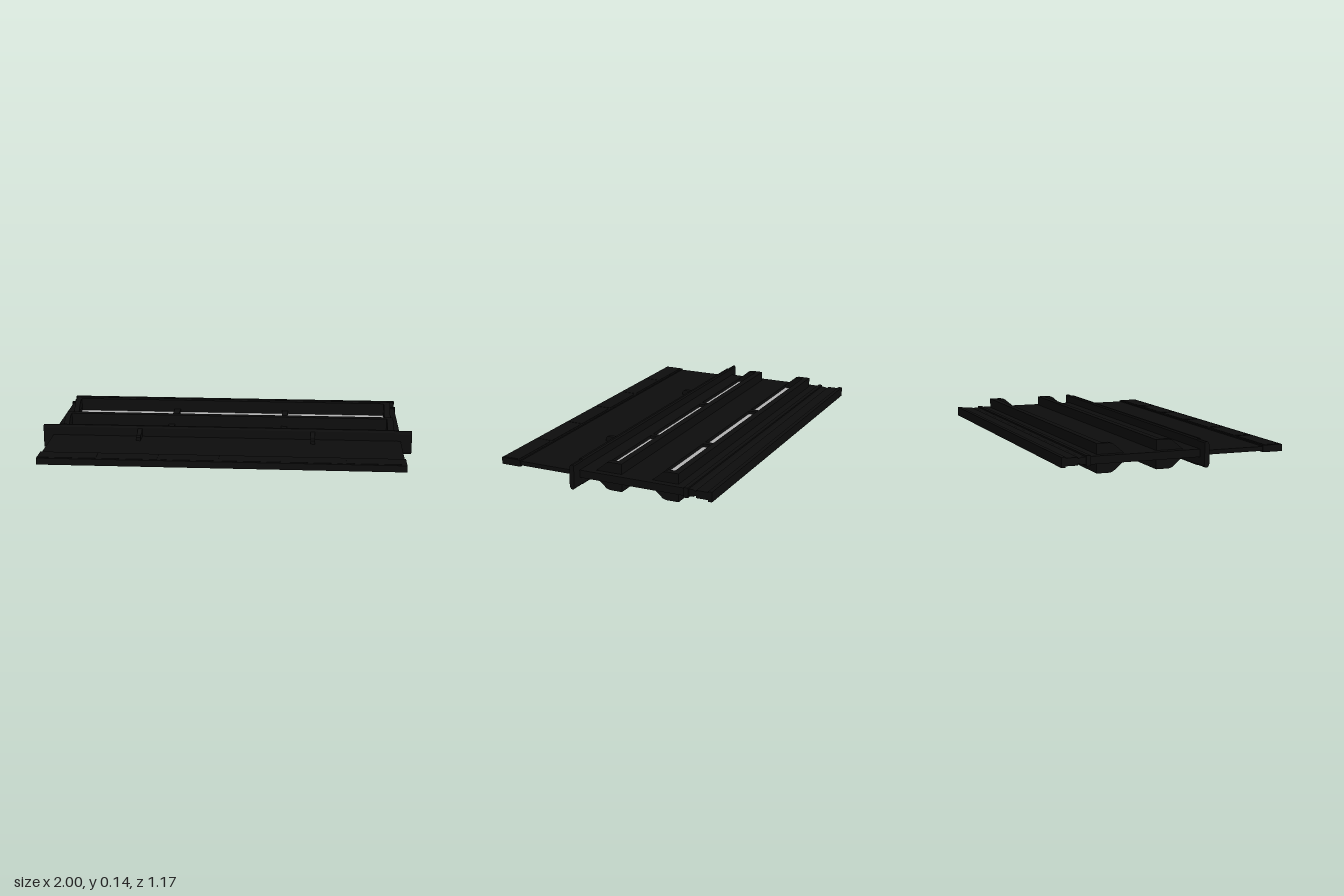
import * as THREE from 'three';

const MID = 0.0725; // height of the symmetry plane

export function createModel() {
  const model = new THREE.Group();
  const black = new THREE.MeshStandardMaterial({ color: 0x0d0d0d });
  black.name = 'black';
  const grey = new THREE.MeshStandardMaterial({ color: 0xb2b2b2 });
  grey.name = 'pale grey';

  const add = (name, geometry, material = black) => {
    const mesh = new THREE.Mesh(geometry, material);
    mesh.name = name;
    model.add(mesh);
    return mesh;
  };
  // box between two x and two z values, centred on the symmetry plane
  const slab = (name, x0, x1, z0, z1, half, material) => {
    const mesh = add(name, new THREE.BoxGeometry(x1 - x0, half * 2, z1 - z0), material);
    mesh.position.set((x0 + x1) / 2, MID, (z0 + z1) / 2);
    return mesh;
  };
  // (z, height above plane) profile mirrored below the plane, swept along x
  const sweep = (name, half, x0, x1) => {
    const pts = [...half, ...half.slice().reverse().map(([z, h]) => [z, -h])];
    const shape = new THREE.Shape(pts.map(([z, h]) => new THREE.Vector2(-z, h)));
    const geo = new THREE.ExtrudeGeometry(shape, { depth: x1 - x0, bevelEnabled: false });
    geo.rotateY(Math.PI / 2);
    add(name, geo).position.set(x0, MID, 0);
  };
  const rect = (Kind, x0, x1, z0, z1) => new Kind([
    new THREE.Vector2(x0, -z0), new THREE.Vector2(x1, -z0),
    new THREE.Vector2(x1, -z1), new THREE.Vector2(x0, -z1),
  ]);

  // main body with six window openings
  const bays = [[-0.88, -0.335], [-0.3, 0.292], [0.325, 0.875]];
  const rows = [0.055, -0.253];
  const body = rect(THREE.Shape, -0.948, 0.943, 0.13, -0.44);
  for (const z of rows) {
    for (const [a, b] of bays) body.holes.push(rect(THREE.Path, a, b, z, z - 0.107));
  }
  const bodyGeo = new THREE.ExtrudeGeometry(body, { depth: 0.039, bevelEnabled: false });
  bodyGeo.rotateX(-Math.PI / 2);
  add('body', bodyGeo).position.y = MID - 0.0195;

  for (const z of rows) {
    // panes on the middle plane
    for (const [a, b] of bays) slab('pane', a, b, z - 0.107, z, 0.002, grey);
    // upright rear wall and wedge-shaped end plates
    slab('rearWall', -0.91, 0.91, z - 0.141, z - 0.107, 0.0725);
    const wedge = [[z, 0.0195], [z - 0.058, 0.068], [z - 0.075, 0.0725], [z - 0.14, 0.0725]];
    sweep('wedgeEnd', wedge, 0.876, 0.91);
    sweep('wedgeEnd', wedge, -0.91, -0.881);
  }

  // long cross flange with chamfered edges
  sweep('flange', [[0.155, 0.048], [0.15, 0.06], [0.145, 0.064], [0.135, 0.064], [0.13, 0.058]], -1, 1);
  sweep('flangeRim', [[0.156, 0.056], [0.148, 0.0675], [0.136, 0.0675], [0.13, 0.06]], -0.91, 0.91);

  // paired brackets in front of the flange
  for (const x of [-0.468, 0.468]) {
    sweep('bracket', [[0.238, 0.03], [0.23, 0.0375], [0.19, 0.0375], [0.17, 0.05], [0.15, 0.056]],
      x - 0.012, x + 0.012);
  }

  // thin front panel and its thicker lip with six raised plates
  slab('frontPanel', -0.945, 0.94, 0.13, 0.48, 0.011);
  slab('frontLip', -0.95, 0.945, 0.475, 0.583, 0.0175);
  for (let i = 0; i < 6; i++) {
    const x = -0.95 + i * 0.3158;
    slab('lipPlate', x + 0.01, x + 0.306, 0.487, 0.572, 0.0195);
  }

  // rear rib, groove, bar and end lip
  slab('rearRib', -0.955, 0.95, -0.462, -0.44, 0.0255);
  sweep('rearGroove', [[-0.46, 0.018], [-0.485, 0.018], [-0.495, 0.012], [-0.505, 0.012]], -0.945, 0.94);
  slab('rearBar', -0.95, 0.945, -0.568, -0.503, 0.0195);
  slab('rearLip', -0.955, 0.95, -0.587, -0.566, 0.0255);

  return model;
}
